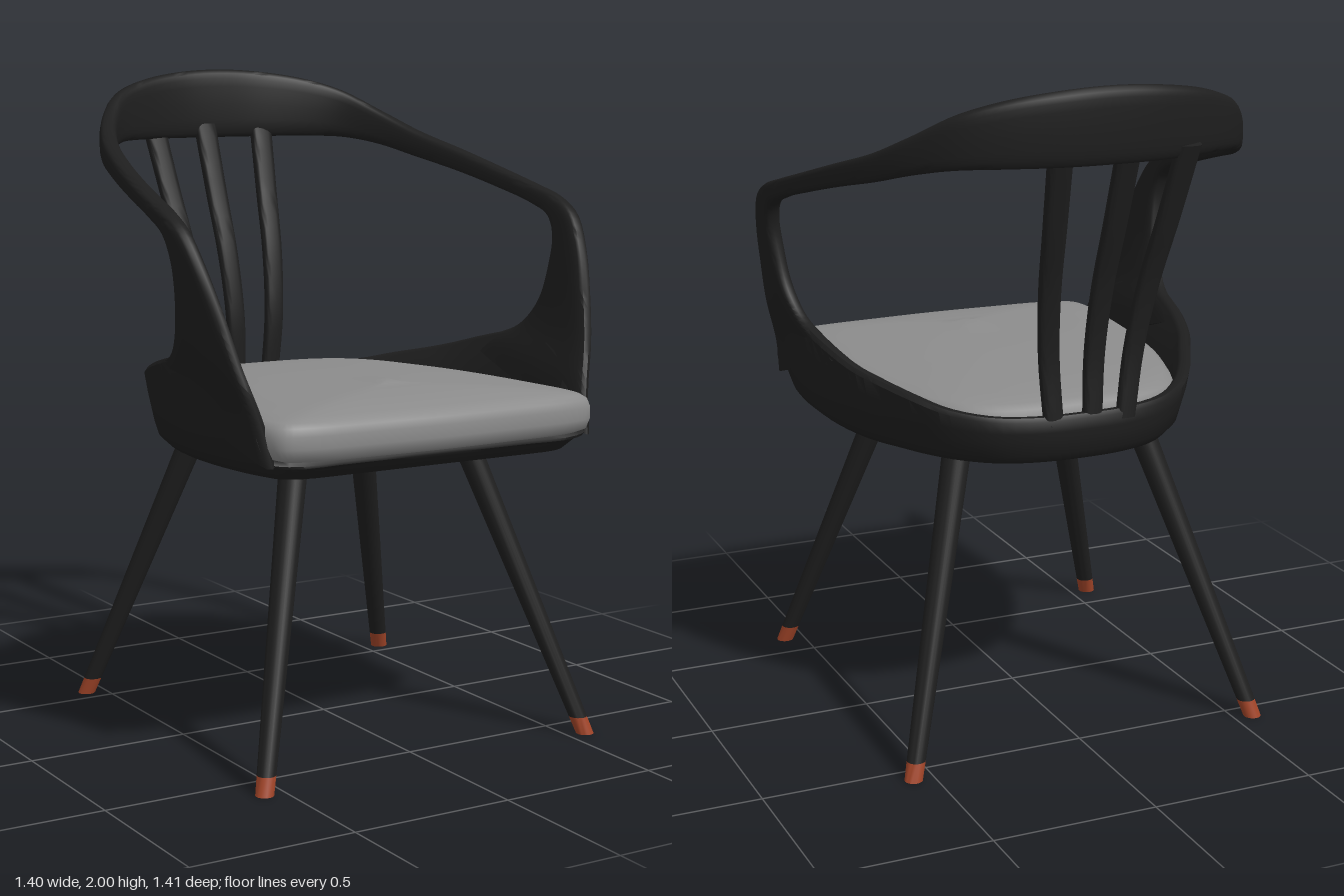
import * as THREE from 'three';
import { toCreasedNormals } from 'three/addons/utils/BufferGeometryUtils.js';

const V = (x, y, z) => new THREE.Vector3(x, y, z);
const black = new THREE.MeshStandardMaterial({ color: 0x1e1e1e });
const fabric = new THREE.MeshStandardMaterial({ color: 0x8c8c8c });
const copper = new THREE.MeshStandardMaterial({ color: 0xa04428 });

// Skin a list of closed rings, closing both ends with a fan to a centre point.
function loft(rings, startCentre, endCentre, crease = 0.8) {
  const n = rings[0].length, pts = rings.flat(), index = [];
  for (let i = 0; i < rings.length - 1; i++) {
    for (let j = 0; j < n; j++) {
      const k = (j + 1) % n, a = i * n + j, b = i * n + k;
      index.push(a, b, a + n, b, b + n, a + n);
    }
  }
  const s = pts.length, last = (rings.length - 1) * n;
  for (let j = 0; j < n; j++) {
    const k = (j + 1) % n;
    index.push(s, k, j, s + 1, last + j, last + k);
  }
  const geo = new THREE.BufferGeometry().setFromPoints([...pts, startCentre, endCentre]);
  geo.setIndex(index);
  return toCreasedNormals(geo, crease);
}

// Rounded strap running between two edge curves.
function band(edgeA, edgeB, thickness, steps) {
  const ca = new THREE.CatmullRomCurve3(edgeA), cb = new THREE.CatmullRomCurve3(edgeB);
  const mid = t => ca.getPoint(t).add(cb.getPoint(t)).multiplyScalar(0.5);
  const soft = v => Math.sign(v) * Math.abs(v) ** 0.6;
  const rings = [];
  for (let i = 0; i <= steps; i++) {
    const t = i / steps, c = mid(t);
    const u = ca.getPoint(t).sub(c);
    const dir = mid(Math.min(1, t + 0.004)).sub(mid(Math.max(0, t - 0.004)));
    const nrm = dir.cross(u).normalize().multiplyScalar(thickness / 2);
    rings.push(Array.from({ length: 20 }, (_, j) => {
      const a = j / 20 * Math.PI * 2;
      return c.clone().addScaledVector(u, soft(Math.cos(a))).addScaledVector(nrm, soft(Math.sin(a)));
    }));
  }
  return loft(rings, mid(0), mid(1));
}

// Smooth closed outline from half of its points, listed front centre to back centre as [x, height, z].
function outline(half, count) {
  const right = half.map(p => V(...p));
  const left = half.slice(1, -1).reverse().map(([x, y, z]) => V(-x, y, z));
  return new THREE.CatmullRomCurve3([...right, ...left], true).getPoints(count).slice(0, count);
}

function createModel() {
  const chair = new THREE.Group();
  const add = (name, geo, mat) => {
    const mesh = new THREE.Mesh(geo, mat);
    mesh.name = name;
    chair.add(mesh);
  };

  // Seat shell: a shallow tub whose rim rises along the sides and drops at the front
  const rim = outline([
    [0, 0.945, 0.645], [0.3, 0.945, 0.645], [0.49, 0.945, 0.64], [0.55, 0.96, 0.615],
    [0.575, 1.06, 0.57], [0.605, 1.17, 0.45], [0.622, 1.2, 0.25], [0.605, 1.165, 0.05],
    [0.565, 1.125, -0.1], [0.515, 1.1, -0.2], [0.455, 1.075, -0.31], [0.385, 1.05, -0.4],
    [0.28, 1.035, -0.48], [0.15, 1.03, -0.52], [0, 1.03, -0.53]], 96);
  const zc = 0.06;
  const level = (sx, sz, y) => rim.map(p => V(p.x * sx, y(p.y), zc + (p.z - zc) * sz));
  const shell = [
    level(0.8, 0.88, () => 0.88), level(0.87, 0.945, () => 0.888), level(0.92, 0.98, () => 0.915),
    level(0.945, 0.995, h => Math.min(0.96, h - 0.02)), level(0.98, 1, h => h - 0.02 - 0.3 * (h - 0.945)),
    level(1, 1, h => h - 0.012), level(0.985, 0.985, h => h), level(0.95, 0.955, h => h),
    level(0.93, 0.935, h => h - 0.01), level(0.86, 0.9, () => 0.935)];
  add('seatShell', loft(shell, V(0, 0.88, zc), V(0, 0.935, zc)), black);

  // Hoop: side panels, arms and top rail in one strap; each row is outer edge, then opening edge
  const hoop = [
    [0.54, 0.93, 0.632, 0.58, 1.13, -0.02], [0.558, 1.05, 0.598, 0.592, 1.165, 0.07],
    [0.6, 1.2, 0.552, 0.613, 1.21, 0.19], [0.63, 1.35, 0.5, 0.635, 1.29, 0.26],
    [0.655, 1.47, 0.445, 0.65, 1.4, 0.293], [0.672, 1.57, 0.375, 0.662, 1.49, 0.298],
    [0.675, 1.62, 0.285, 0.665, 1.55, 0.27], [0.665, 1.648, 0.19, 0.66, 1.59, 0.18],
    [0.645, 1.69, 0.04, 0.642, 1.628, 0.04], [0.61, 1.745, -0.15, 0.608, 1.675, -0.15],
    [0.56, 1.8, -0.33, 0.56, 1.716, -0.33], [0.5, 1.862, -0.46, 0.5, 1.752, -0.46],
    [0.415, 1.928, -0.565, 0.415, 1.775, -0.56], [0.3, 1.968, -0.63, 0.3, 1.78, -0.622],
    [0.15, 1.992, -0.672, 0.15, 1.78, -0.66], [0, 2, -0.682, 0, 1.78, -0.67]];
  const mirrored = hoop.slice(0, -1).reverse().map(([a, b, c, d, e, f]) => [-a, b, c, -d, e, f]);
  const full = [...hoop, ...mirrored];
  add('armHoop', band(full.map(r => V(r[0], r[1], r[2])), full.map(r => V(r[3], r[4], r[5])), 0.054, 150), black);

  // Back spindles: flat bowed slats fanning out towards the top rail
  const bow = [[1.0, -0.508], [1.2, -0.502], [1.4, -0.535], [1.6, -0.597], [1.82, -0.662]];
  for (const [top, bottom] of [[-0.245, -0.135], [-0.058, -0.028], [0.15, 0.095]]) {
    const edge = side => bow.map(([y, z], i) =>
      V(THREE.MathUtils.lerp(bottom, top, i / 4) + side * (0.029 + 0.002 * i), y, z));
    add('backSpindle', band(edge(1), edge(-1), 0.036, 20), black);
  }

  // Cushion: rounded edge and a gently domed top rising to a tuft near the front
  const pad = outline([
    [0, 0, 0.705], [0.25, 0, 0.697], [0.46, 0, 0.683], [0.53, 0, 0.655], [0.553, 0, 0.58],
    [0.543, 0, 0.35], [0.522, 0, 0.15], [0.49, 0, -0.03], [0.44, 0, -0.2], [0.4, 0, -0.31],
    [0.335, 0, -0.405], [0.23, 0, -0.465], [0, 0, -0.485]], 96);
  const tuftZ = 0.37;
  const padRings = [[0.93, 0.945], [0.98, 0.955], [1, 0.985], [1, 1.02], [0.985, 1.043], [0.95, 1.056],
    [0.85, 1.066], [0.65, 1.08], [0.4, 1.09], [0.2, 1.095], [0.07, 1.098]]
    .map(([s, y]) => pad.map(p => V(p.x * s, y, tuftZ + (p.z - tuftZ) * s)));
  add('seatCushion', loft(padRings, V(0, 0.945, tuftZ), V(0, 1.108, tuftZ), 1.2), fabric);

  // Splayed legs with level-cut copper tips
  for (const sx of [-1, 1]) {
    for (const [name, topZ, footZ] of [['frontLeg', 0.325, 0.617], ['backLeg', -0.265, -0.562]]) {
      const section = (part, y0, y1, mat) => {
        const radius = y => 0.027 + 0.017 * y / 0.92;
        const geo = new THREE.CylinderGeometry(radius(y1), radius(y0), y1 - y0, 20);
        geo.translate(0, (y0 + y1) / 2, 0);
        const pos = geo.attributes.position;
        for (let i = 0; i < pos.count; i++) {
          const t = pos.getY(i) / 0.92;
          pos.setX(i, pos.getX(i) + sx * THREE.MathUtils.lerp(0.562, 0.292, t));
          pos.setZ(i, pos.getZ(i) + THREE.MathUtils.lerp(footZ, topZ, t));
        }
        geo.deleteAttribute('uv');
        add(part, toCreasedNormals(geo, 0.8), mat);
      };
      section(name, 0.052, 0.92, black);
      section(name + 'Tip', 0, 0.052, copper);
    }
  }
  return chair;
}

export { createModel };
